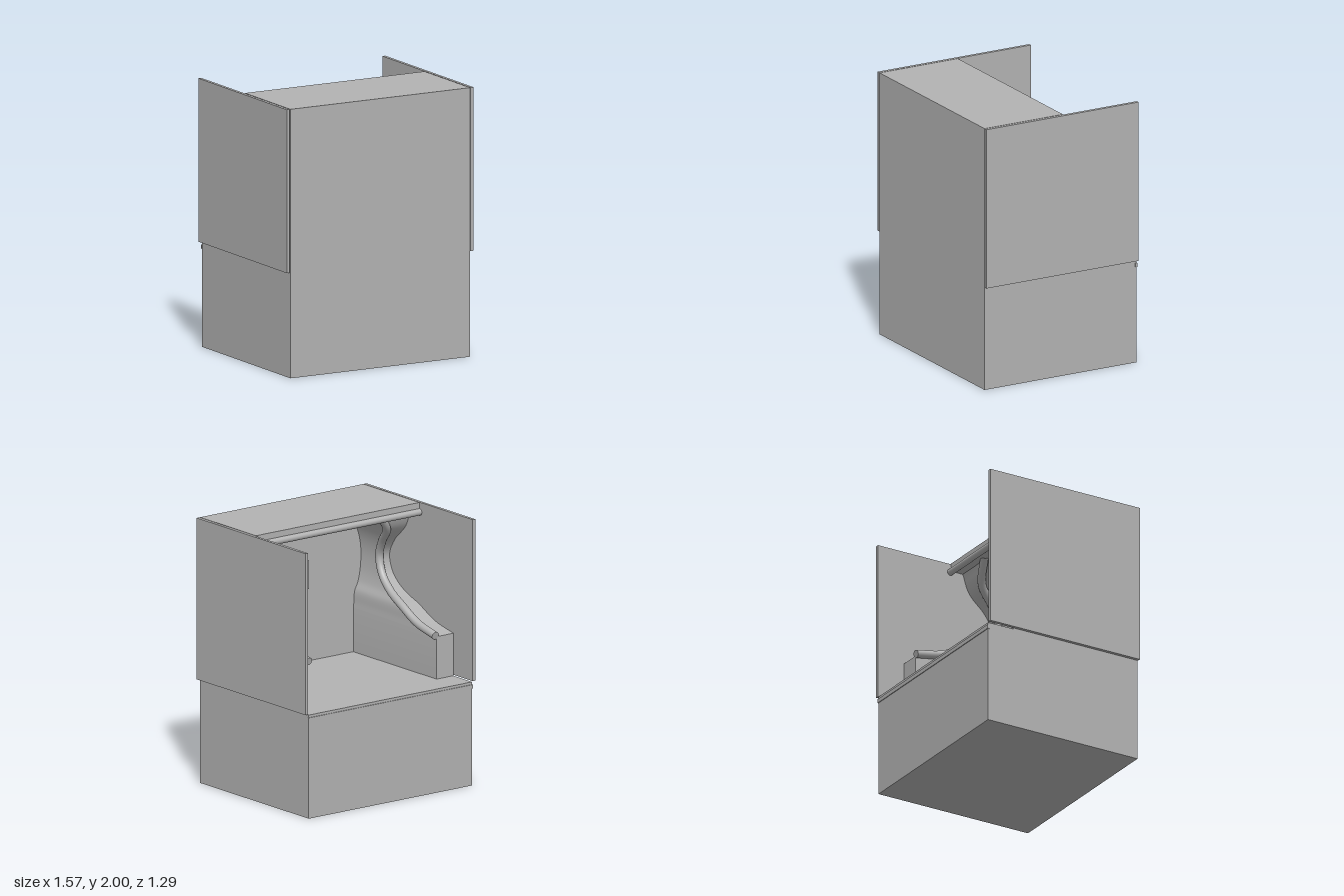
import * as THREE from 'three';
import { toCreasedNormals } from 'three/addons/utils/BufferGeometryUtils.js';

export function createModel() {
  const model = new THREE.Group();
  const grey = new THREE.MeshStandardMaterial({ color: 0xb3b3b3 });
  grey.name = 'plain grey';

  const add = (name, geometry) => {
    const mesh = new THREE.Mesh(geometry, grey);
    mesh.name = name;
    model.add(mesh);
    return mesh;
  };
  // Box given by its extents on each axis
  const box = (name, x0, x1, y0, y1, z0, z1) => {
    const mesh = add(name, new THREE.BoxGeometry(x1 - x0, y1 - y0, z1 - z0));
    mesh.position.set((x0 + x1) / 2, (y0 + y1) / 2, (z0 + z1) / 2);
    return mesh;
  };

  // Cabinet shell
  box('base', -0.755, 0.755, 0, 0.78, -0.64, 0.64);
  box('frontWall', -0.755, 0.755, 0.78, 2, 0.56, 0.64);
  box('roof', -0.755, 0.755, 1.94, 2, -0.02, 0.64);
  box('rearTrim', -0.76, 0.76, 0.73, 0.76, -0.646, -0.63);

  // Round rail along the rear edge of the roof
  const rail = add('roofRail', new THREE.CylinderGeometry(0.025, 0.025, 1.51, 24));
  rail.rotation.z = Math.PI / 2;
  rail.position.set(0, 1.93, -0.025);

  // Boxes inside the cabin
  box('centreBox', -0.145, 0.145, 1.34, 1.555, 0.5, 0.565);
  const sideBox = box('sideBox', 0.6, 0.745, 1.28, 1.63, 0.335, 0.52);
  sideBox.rotation.set(-0.08, 0.12, 0.03);

  // Inner rear edge of the side wing: armrest, hollow, then flare to the roof
  const edge = [
    [0.6, 1.1, -0.42], [0.605, 1.15, -0.2], [0.612, 1.235, -0.02],
    [0.645, 1.31, 0.17], [0.665, 1.41, 0.29], [0.67, 1.54, 0.33],
    [0.65, 1.66, 0.27], [0.59, 1.79, 0.14], [0.46, 1.945, 0.08],
  ];

  for (const s of [1, -1]) {
    const side = s > 0 ? 'left' : 'right';
    const panelX = s * 0.774;
    box(side + 'Panel', panelX - 0.0125, panelX + 0.0125, 0.785, 2, -0.64, 0.64);

    // Wing lofted from four-cornered sections up the edge curve
    const curve = new THREE.CatmullRomCurve3(edge.map((p) => new THREE.Vector3(...p)));
    const rows = [new THREE.Vector3(0.6, 0.775, -0.42), ...curve.getPoints(40)];
    const positions = [];
    const index = [];
    rows.forEach(({ x, y, z }, i) => {
      positions.push(s * 0.755, y, z, s * x, y, z, s * x, y, 0.565, s * 0.755, y, 0.565);
      if (!i) return;
      for (let k = 0; k < 4; k++) {
        const a = (i - 1) * 4 + k;
        const b = (i - 1) * 4 + ((k + 1) % 4);
        const quad = [a, b, b + 4, a, b + 4, a + 4];
        index.push(...(s > 0 ? quad : quad.reverse()));
      }
    });
    const wing = new THREE.BufferGeometry();
    wing.setAttribute('position', new THREE.Float32BufferAttribute(positions, 3));
    wing.setIndex(index);
    add(side + 'Wing', toCreasedNormals(wing, 0.6));

    // Tube following the wing edge, with a flat cap at its rear end
    const path = new THREE.CatmullRomCurve3(
      edge.map(([x, y, z]) => new THREE.Vector3(s * (x - 0.015), y + 0.01, z - 0.005)));
    add(side + 'EdgeTube', new THREE.TubeGeometry(path, 64, 0.03, 16));
    const cap = add(side + 'TubeCap', new THREE.CircleGeometry(0.03, 16));
    const start = path.getPoint(0);
    cap.position.copy(start);
    cap.lookAt(start.clone().sub(path.getTangent(0)));
  }
  return model;
}
